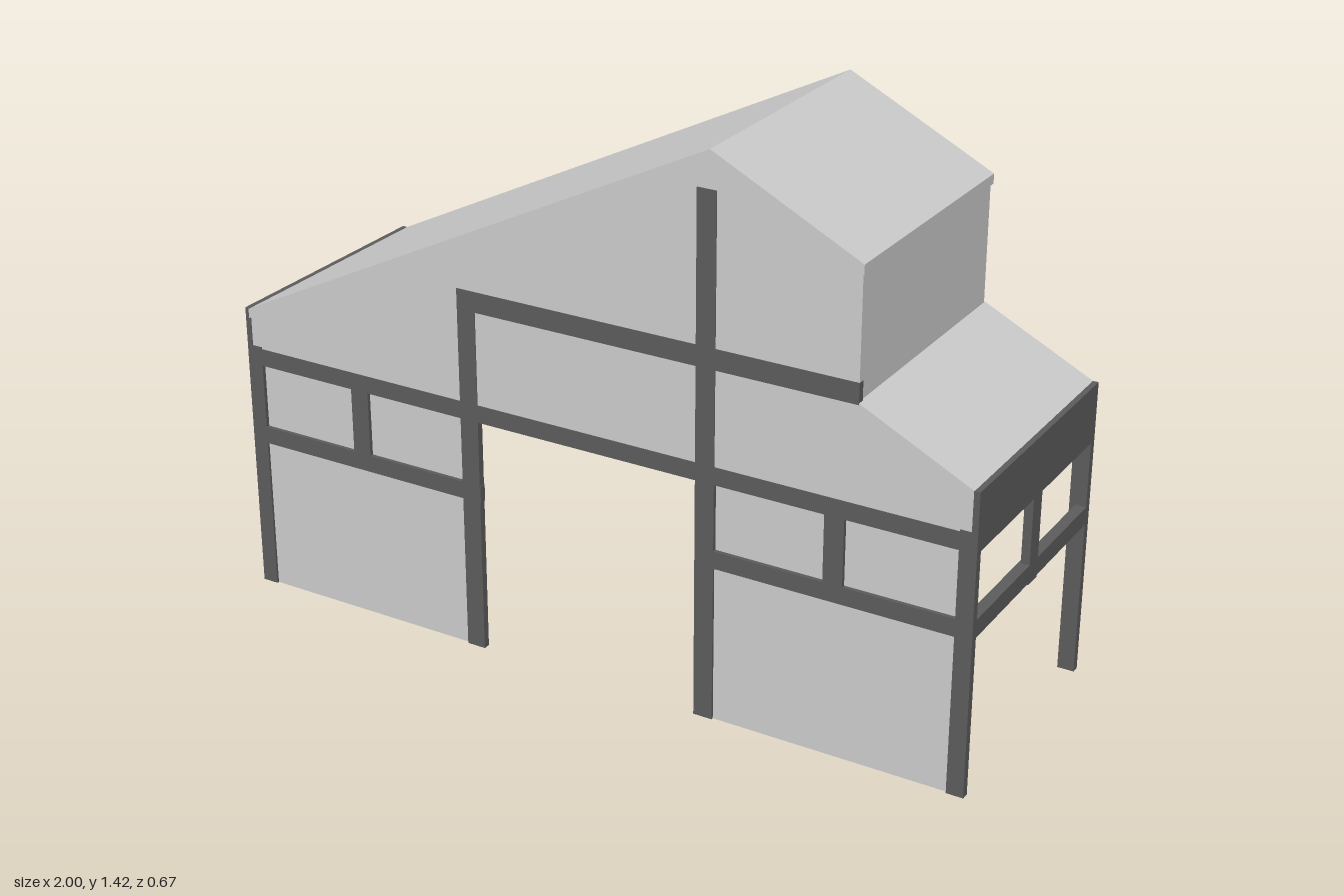
import * as THREE from 'three';

const grey = new THREE.MeshStandardMaterial({ color: 0xcccccc });
const dark = new THREE.MeshStandardMaterial({ color: 0x5c5c5c });
const red = new THREE.MeshStandardMaterial({ color: 0x521010 });

export function createModel() {
  const root = new THREE.Group();
  const part = (name) => {
    const g = new THREE.Group();
    g.name = name;
    root.add(g);
    return g;
  };
  const add = (parent, name, geo, mat) => {
    const m = new THREE.Mesh(geo, mat);
    m.name = name;
    parent.add(m);
    return m;
  };
  // box given by its min and max along each axis
  const box = (parent, name, mat, x0, x1, y0, y1, z0, z1) => {
    const m = add(parent, name, new THREE.BoxGeometry(x1 - x0, y1 - y0, z1 - z0), mat);
    m.position.set((x0 + x1) / 2, (y0 + y1) / 2, (z0 + z1) / 2);
    return m;
  };
  // outline in the x-y plane, extruded from z0 to z1
  const slab = (parent, name, mat, pts, z0, z1) => {
    const shape = new THREE.Shape(pts.map((p) => new THREE.Vector2(p[0], p[1])));
    const geo = new THREE.ExtrudeGeometry(shape, { depth: z1 - z0, bevelEnabled: false });
    geo.translate(0, 0, z0);
    return add(parent, name, geo, mat);
  };
  // straight timber between two points in the x-y plane
  const beam = (parent, name, a, b, size, z0, z1) => {
    const dx = b[0] - a[0], dy = b[1] - a[1];
    const m = add(parent, name, new THREE.BoxGeometry(Math.hypot(dx, dy), size, z1 - z0), red);
    m.position.set((a[0] + b[0]) / 2, (a[1] + b[1]) / 2, (z0 + z1) / 2);
    m.rotation.z = Math.atan2(dy, dx);
  };

  const Z = 0.333;
  const ridge = [0.33, 1.42];

  // front wall: gable sheet and lower panels with window panes
  const front = part('frontWall');
  slab(front, 'gableSheet', grey, [
    [-0.995, 0.64], [0.995, 0.64], [0.995, 0.765], [0.705, 0.908],
    [0.705, 1.23], ridge, [-0.995, 0.765],
  ], 0.319, 0.331);
  for (const s of [-1, 1]) {
    const span = (name, mat, a, b, y0, y1, z0, z1) =>
      box(front, name, mat, Math.min(s * a, s * b), Math.max(s * a, s * b), y0, y1, z0, z1);
    span('lowerPanel', grey, 0.33, 0.98, 0, 0.42, 0.319, 0.327);
    span('windowPane', grey, 0.33, 0.98, 0.43, 0.64, 0.317, 0.323);
    span('windowMullion', dark, 0.63, 0.68, 0.44, 0.63, 0.315, Z);
    span('middleRail', dark, 0.3, 1, 0.405, 0.45, 0.315, Z);
    span('cornerPost', dark, 0.957, 1, 0, 0.67, 0.315, Z);
  }
  box(front, 'lintelRail', dark, -1, 1, 0.62, 0.665, 0.315, Z);
  box(front, 'upperRail', dark, -0.35, 0.706, 0.905, 0.957, 0.315, Z);
  box(front, 'doorPost', dark, -0.352, -0.302, 0, 0.957, 0.315, Z);
  box(front, 'tallDoorPost', dark, 0.298, 0.348, 0, 1.33, 0.315, Z);

  // side frames: one open, one filled in
  for (const s of [-1, 1]) {
    const side = part(s > 0 ? 'leftSideFrame' : 'rightSideFrame');
    const bar = (name, mat, inner, outer, y0, y1, z0, z1) =>
      box(side, name, mat, Math.min(s * inner, s * outer), Math.max(s * inner, s * outer), y0, y1, z0, z1);
    bar('frontPost', dark, 0.98, 1, 0, 0.67, 0.313, Z);
    bar('backPost', dark, 0.957, 1, 0, 0.67, -Z, -0.313);
    bar('centrePost', dark, 0.978, 1, 0.4, 0.67, -0.024, 0.024);
    for (const y of [0.405, 0.62]) bar('rail', dark, 0.972, 1, y, y + 0.046, -Z, Z);
    bar('eavesFascia', dark, 0.985, 1, 0.66, 0.77, -Z, Z);
    if (s < 0) {
      bar('lowerPanel', grey, 0.986, 0.994, 0, 0.42, -0.32, 0.32);
      bar('windowPanes', grey, 0.982, 0.989, 0.43, 0.64, -0.32, 0.32);
    }
  }

  // roof sheets and the upright wall between the two roof levels
  const roof = part('roof');
  const t = 0.025;
  slab(roof, 'mainRoof', grey, [
    [-0.99, 0.768 - t], [0.33, 1.422 - t], [0.708, 1.232 - t],
    [0.708, 1.232], [0.33, 1.422], [-0.99, 0.768],
  ], -Z, Z);
  slab(roof, 'lowerRoof', grey, [
    [0.69, 0.917 - t], [0.99, 0.768 - t], [0.99, 0.768], [0.69, 0.917],
  ], -Z, Z);
  box(roof, 'upperSideWall', grey, 0.69, 0.703, 0.895, 1.22, -Z + 0.005, 0.32);

  // truss across the open back
  const truss = part('backTruss');
  const z0 = -0.328, z1 = -0.295, low = 0.69;
  const under = (x, drop = 0.05) => 0.765 + 0.495 * (1 - Math.abs(x)) - drop;
  beam(truss, 'bottomChord', [-0.98, low], [0.98, low], 0.042, z0, z1);
  beam(truss, 'longRafter', [-0.98, under(-0.98)], [0.33, 1.368], 0.045, z0, z1);
  beam(truss, 'shortRafter', [0.98, under(0.98)], [0, under(0)], 0.045, z0, z1);
  beam(truss, 'upperRafter', [0.33, 1.368], [0.69, 1.186], 0.045, z0, z1);
  for (const s of [-1, 1]) {
    beam(truss, 'outerWeb', [s * 0.66, under(0.66)], [s * 0.36, low], 0.04, z0, z1);
    beam(truss, 'innerWeb', [s * 0.33, under(0.33)], [0, low], 0.04, z0, z1);
  }

  // purlins running from the truss to the front wall
  const purlins = part('purlins');
  const spots = [[-0.66, under(0.66)], [-0.33, under(0.33)], [0, under(0)],
    [0.33, 1.366], [0.67, 1.19], [0.67, under(0.67)]];
  for (const [x, y] of spots) {
    box(purlins, 'purlin', red, x - 0.018, x + 0.018, y - 0.018, y + 0.018, z0, 0.318);
  }
  return root;
}
